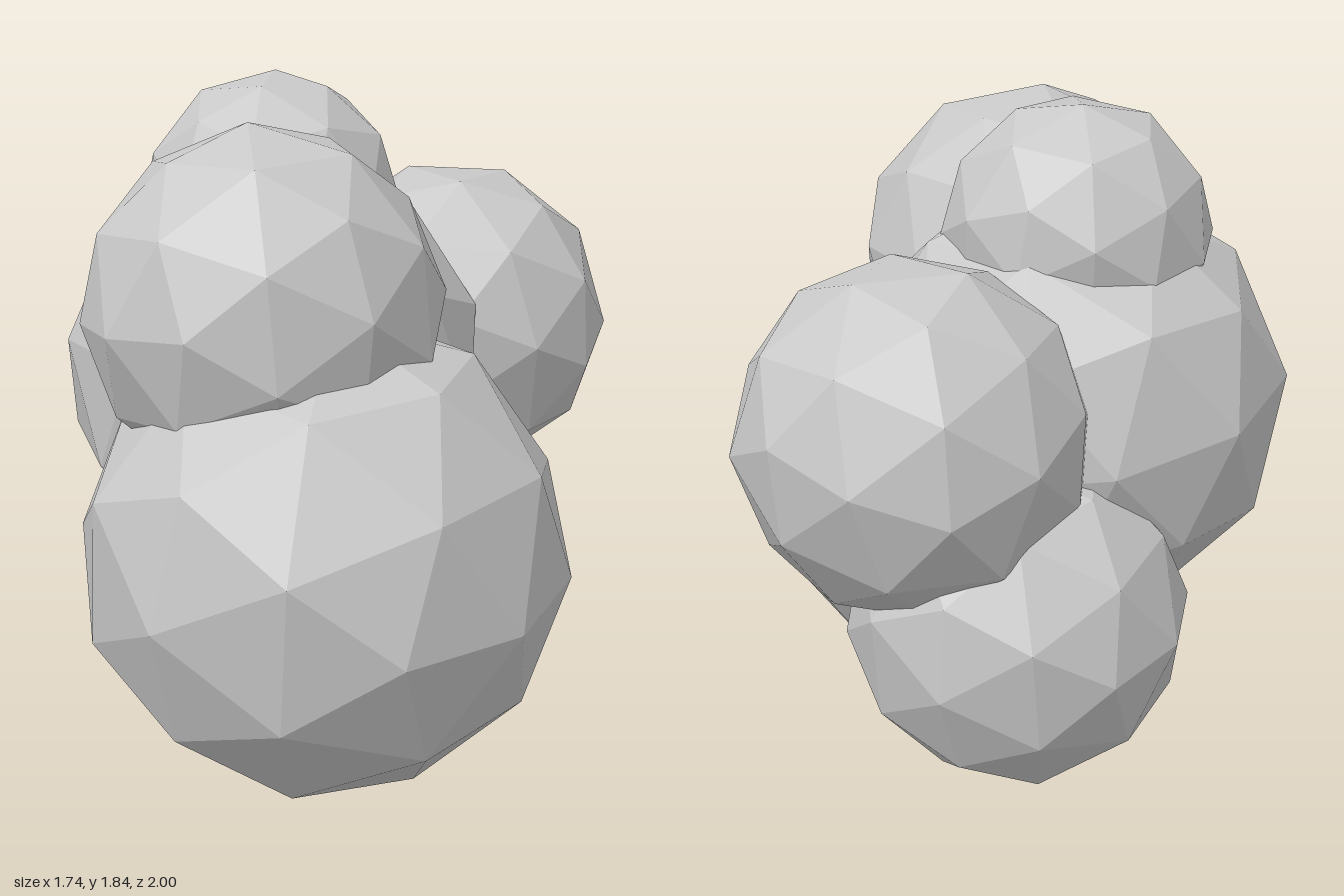
import * as THREE from 'three';

// Cluster of faceted boulders: name, centre, radius, tilt
const BOULDERS = [
  ['largeFrontBoulder', [-0.24, 0.65, 0.35], 0.658, [0.16, 0, 0]],
  ['upperFrontBoulder', [-0.37, 1.30, 0.25], 0.48, [0.5, 0.3, 0.2]],
  ['topBoulder', [-0.19, 1.485, -0.28], 0.365, [0.9, 0.2, 0.4]],
  ['leftBoulder', [0.42, 1.07, -0.46], 0.465, [0.3, 0.7, 0.1]],
  ['rearLowerBoulder', [0.16, 0.565, -0.555], 0.45, [0.2, 1.1, 0.3]],
  ['coreBoulder', [-0.2, 1.02, -0.235], 0.597, [0.6, 0.4, 0.5]],
  ['lowerCoreBoulder', [0.03, 0.71, -0.2], 0.448, [0.1, 0.5, 0.8]],
];

export function createModel() {
  const group = new THREE.Group();
  group.name = 'boulderCluster';
  const stone = new THREE.MeshStandardMaterial({ color: 0xc8c8c8, flatShading: true });
  stone.name = 'stone grey';

  for (const [name, centre, radius, tilt] of BOULDERS) {
    // Turn one corner of the solid to the front before tilting it
    const geometry = new THREE.IcosahedronGeometry(radius, 1);
    geometry.rotateX(0.5536).rotateZ(Math.PI / 10);
    const boulder = new THREE.Mesh(geometry, stone);
    boulder.name = name;
    boulder.position.set(...centre);
    boulder.rotation.set(...tilt);
    group.add(boulder);
  }
  return group;
}
